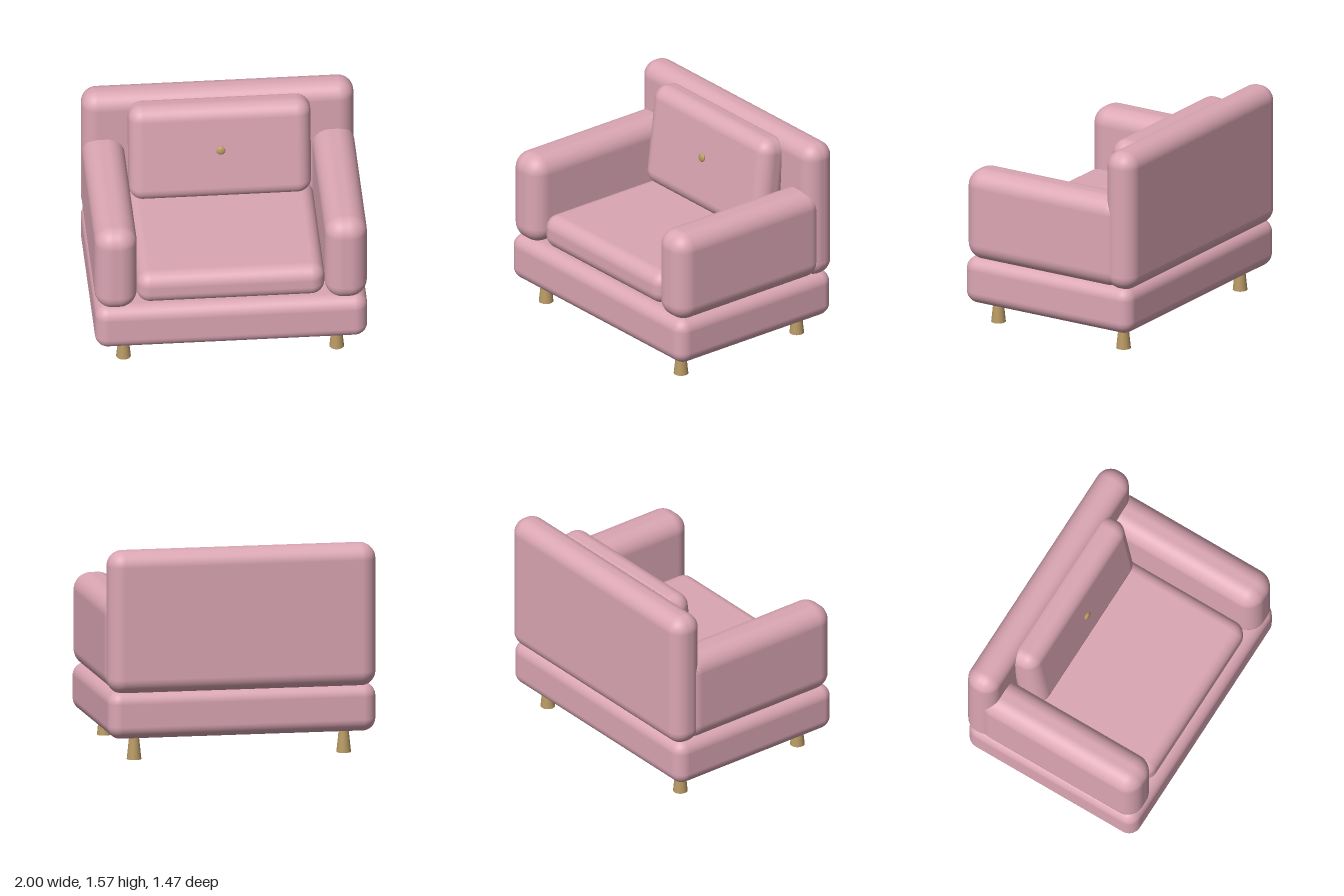
import * as THREE from 'three';
import { RoundedBoxGeometry } from 'three/addons/geometries/RoundedBoxGeometry.js';

export function createModel() {
  const fabric = new THREE.MeshStandardMaterial({ color: 0xdba6b4 });
  fabric.name = 'pink fabric';
  const wood = new THREE.MeshStandardMaterial({ color: 0xb89a64 });
  wood.name = 'tan wood';

  const model = new THREE.Group();
  model.name = 'armchair';

  const add = (name, geometry, material, x, y, z) => {
    const mesh = new THREE.Mesh(geometry, material);
    mesh.name = name;
    mesh.position.set(x, y, z);
    model.add(mesh);
    return mesh;
  };

  // Padded block given by its limits on each axis
  const pad = (name, [x0, x1], [y0, y1], [z0, z1], radius) =>
    add(name, new RoundedBoxGeometry(x1 - x0, y1 - y0, z1 - z0, 8, radius), fabric,
      (x0 + x1) / 2, (y0 + y1) / 2, (z0 + z1) / 2);

  pad('base', [-1, 1], [0.17, 0.527], [-0.715, 0.735], 0.095);
  pad('backrest', [-1, 1], [0.503, 1.565], [-0.735, -0.485], 0.115);
  pad('seatCushion', [-0.69, 0.69], [0.52, 0.775], [-0.52, 0.68], 0.1);

  // Back cushion leans against the backrest
  const lean = -0.125;
  const backCushion = pad('backCushion', [-0.67, 0.67], [0.762, 1.532], [-0.538, -0.288], 0.105);
  backCushion.rotation.x = lean;

  // Button on the front of the back cushion
  const button = add('button', new THREE.SphereGeometry(0.033, 24, 16), wood, 0, 1.205, -0.275);
  button.scale.z = 0.45;
  button.rotation.x = lean;

  for (const side of [1, -1]) {
    const label = side > 0 ? 'left' : 'right';
    const arm = pad(label + 'Arm', [0.69, 1], [0.505, 1.2], [-0.63, 0.735], 0.13);
    arm.position.x *= side;

    // Tapered legs, wider at the floor
    for (const [end, z] of [['Front', 0.556], ['Back', -0.535]]) {
      add(label + end + 'Leg', new THREE.CylinderGeometry(0.035, 0.054, 0.18, 24), wood,
        side * 0.783, 0.09, z);
    }
  }
  return model;
}
